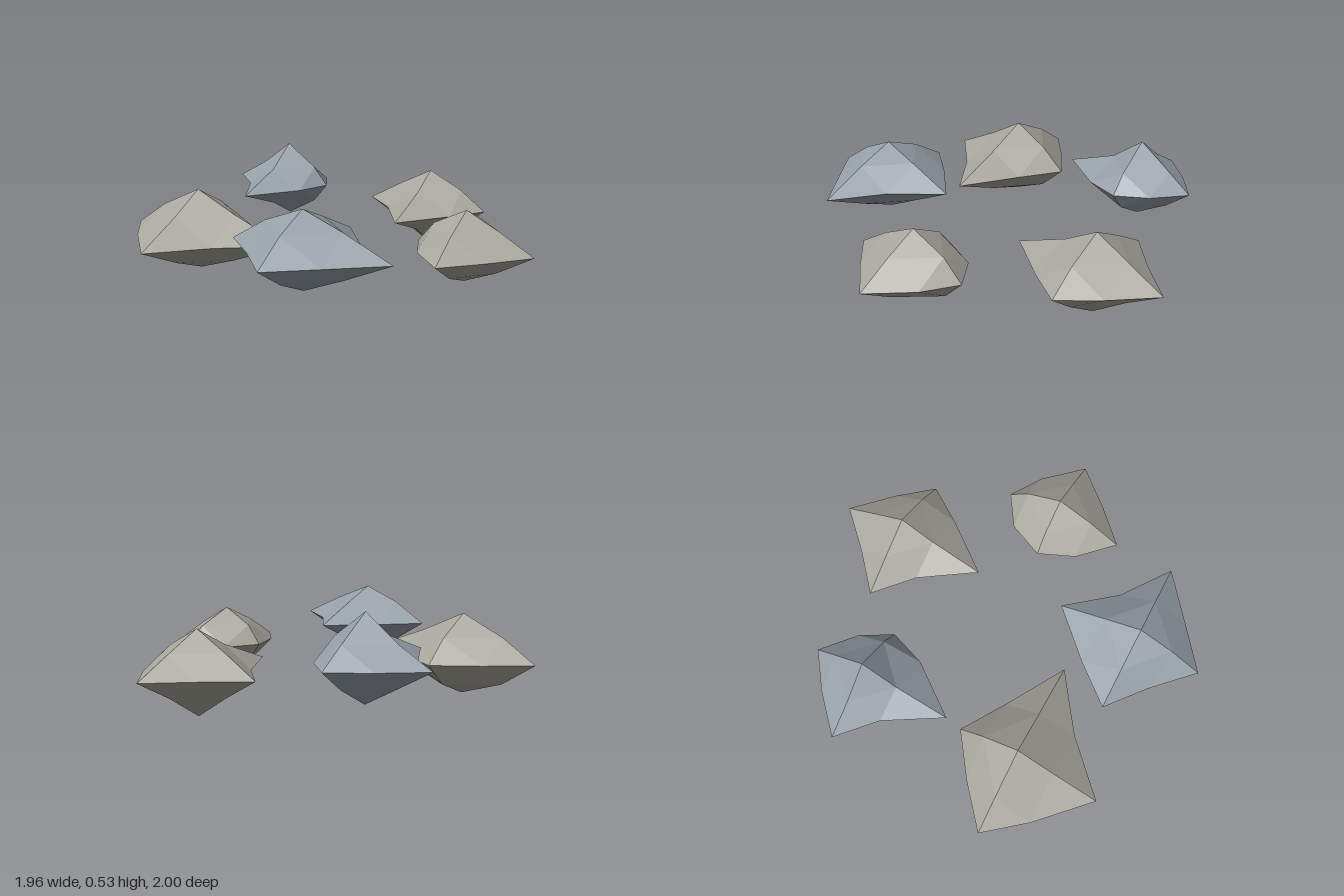
import * as THREE from 'three';

const WARM = 0xaaa99f, BLUE = 0x98a2aa;

// A stone is a once-divided octahedron whose corners are pushed in or out.
// tips: reach along -x, +x, -z, +z, up, down
// ring: offset of the level corners, in order (-x-z) (+x-z) (+x+z) (-x+z)
// stretch: widens the corners along x and narrows them along z
function makeStone(name, color, at, tips, ring, stretch) {
  const [left, right, back, front, up, down] = tips;
  const mean = ring.reduce((a, b) => a + b) / ring.length;

  const corner = (sx, sy, sz) => {
    const count = Math.abs(sx) + Math.abs(sy) + Math.abs(sz);
    if (count === 1) {
      return [
        sx * (sx > 0 ? right : left),
        sy * (sy > 0 ? up : down),
        sz * (sz > 0 ? front : back),
      ];
    }
    const level = ring[sz < 0 ? (sx < 0 ? 0 : 1) : (sx > 0 ? 2 : 3)];
    const r = sy ? mean : level;
    return [sx * r * stretch, sy * r * 0.57, sz * r / stretch];
  };

  const geometry = new THREE.OctahedronGeometry(1, 1);
  const pos = geometry.attributes.position;
  const sign = (v) => (Math.abs(v) < 0.1 ? 0 : Math.sign(v));
  for (let i = 0; i < pos.count; i++) {
    pos.setXYZ(i, ...corner(sign(pos.getX(i)), sign(pos.getY(i)), sign(pos.getZ(i))));
  }
  geometry.computeVertexNormals();

  const material = new THREE.MeshStandardMaterial({ color, flatShading: true });
  const mesh = new THREE.Mesh(geometry, material);
  mesh.name = name;
  mesh.position.set(...at);
  return mesh;
}

export function createModel() {
  const group = new THREE.Group();
  group.name = 'stoneRing';
  group.add(
    makeStone('backLeftStone', BLUE, [-0.59, 0.32, -0.4],
      [0.335, 0.245, 0.29, 0.43, 0.215, 0.185], [0.165, 0.155, 0.182, 0.16], 1),
    makeStone('backStone', WARM, [0.175, 0.22, -0.65],
      [0.365, 0.32, 0.35, 0.435, 0.195, 0.215], [0.172, 0.175, 0.19, 0.172], 1.04),
    makeStone('rightSideStone', WARM, [0.65, 0.225, 0.005],
      [0.24, 0.33, 0.285, 0.345, 0.18, 0.165], [0.17, 0.172, 0.174, 0.172], 0.94),
    makeStone('frontLeftStone', WARM, [-0.59, 0.225, 0.41],
      [0.39, 0.505, 0.31, 0.42, 0.215, 0.185], [0.182, 0.192, 0.211, 0.212], 1.1),
    makeStone('frontStone', BLUE, [0.175, 0.32, 0.66],
      [0.37, 0.43, 0.405, 0.335, 0.18, 0.185], [0.2, 0.18, 0.19, 0.168], 1.06),
  );
  return group;
}
